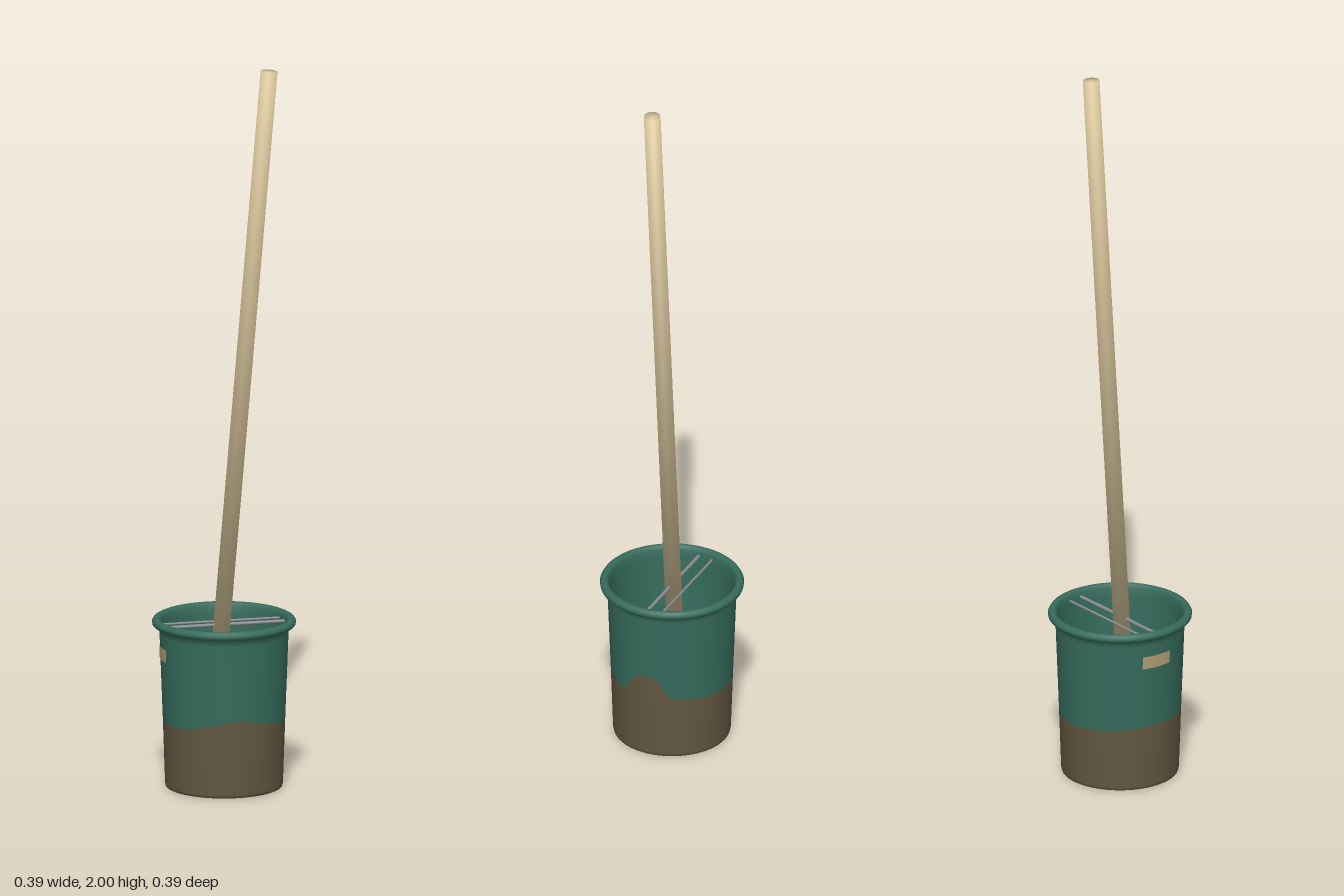
import * as THREE from 'three';
import { mergeVertices } from 'three/addons/utils/BufferGeometryUtils.js';

const SEG = 72;
const material = (name, color) => {
  const m = new THREE.MeshStandardMaterial({ color });
  m.name = name;
  return m;
};

// Wall radii at a height, and the height of the dirt line around the bucket
const outerR = (y) => 0.16 + 0.038 * y;
const innerR = (y) => 0.154 + 0.036 * y;
function dirtLine(phi) {
  const a = Math.abs(Math.atan2(Math.sin(phi), Math.cos(phi)));
  const right = Math.abs(Math.atan2(Math.sin(phi - Math.PI / 2), Math.cos(phi - Math.PI / 2)));
  const front = 0.033 * Math.max(0, 1 - a / 0.95);
  const back = -0.014 * Math.max(0, (a - 1.7) / 1.44);
  const bump = 0.062 * THREE.MathUtils.clamp((0.42 - right) / 0.24, 0, 1);
  return 0.187 + front + back + bump;
}

// Lathe whose chosen rows follow the dirt line
function latheWithDirtLine(profile, rows) {
  const geo = new THREE.LatheGeometry(profile.map(([r, y]) => new THREE.Vector2(r, y)), SEG);
  const pos = geo.attributes.position;
  for (let i = 0; i <= SEG; i++) {
    const phi = (i / SEG) * Math.PI * 2;
    const y = dirtLine(phi);
    for (const [row, radius] of rows) {
      const r = radius(y);
      pos.setXYZ(i * profile.length + row, r * Math.sin(phi), y, r * Math.cos(phi));
    }
  }
  return geo;
}

// Share vertices so that shading runs softly over the edges
function soften(geo) {
  geo.deleteAttribute('normal');
  geo.deleteAttribute('uv');
  const merged = mergeVertices(geo, 1e-4);
  merged.computeVertexNormals();
  return merged;
}

// Pole whose end rings share one normal between side and cap
function softPole(radius, length) {
  const geo = new THREE.CylinderGeometry(radius, radius, length, 24);
  const { position, normal } = geo.attributes;
  const n = new THREE.Vector3();
  for (let i = 0; i < position.count; i++) {
    n.set(position.getX(i) / radius, Math.sign(position.getY(i)), position.getZ(i) / radius).normalize();
    normal.setXYZ(i, n.x, n.y, n.z);
  }
  return geo;
}

export function createModel() {
  const group = new THREE.Group();
  const green = material('bucketGreen', 0x366c5d);
  const dirt = material('dirtBrown', 0x625740);
  const wood = material('paleWood', 0xd5c298);
  const metal = material('wireGrey', 0x888c8e);
  const label = material('labelTan', 0xb39f74);

  const add = (name, geo, mat) => {
    const mesh = new THREE.Mesh(geo, mat);
    mesh.name = name;
    group.add(mesh);
    return mesh;
  };

  // Clean upper bucket: outer wall, rolled rim, inner wall
  const upper = [
    [outerR(0.19), 0.19], [outerR(0.43), 0.43], [0.178, 0.448], [0.19, 0.45],
    [0.196, 0.456], [0.197, 0.463], [0.193, 0.47], [0.185, 0.474],
    [0.177, 0.471], [0.172, 0.463], [innerR(0.44), 0.44], [innerR(0.19), 0.19],
  ];
  add('bucketUpper', latheWithDirtLine(upper, [[0, outerR], [upper.length - 1, innerR]]), green);

  // Dirty lower bucket: outside with a closed base, inside with the floor
  add('bucketLowerOutside', latheWithDirtLine(
    [[0.155, 0], [0.159, 0.002], [0.161, 0.01], [outerR(0.19), 0.19]], [[3, outerR]]), dirt);
  add('bucketBase', new THREE.CircleGeometry(0.155, SEG).rotateX(Math.PI / 2), dirt);
  add('bucketLowerInside', soften(latheWithDirtLine(
    [[innerR(0.19), 0.19], [0.154, 0.005], [0, 0.005]], [[0, innerR]])), dirt);

  // Leaning pole
  const start = new THREE.Vector3(-0.014, 0.36, 0);
  const end = new THREE.Vector3(0.127, 1.998, 0);
  const pole = add('pole', softPole(0.023, start.distanceTo(end)), wood);
  pole.position.copy(start).lerp(end, 0.5);
  pole.quaternion.setFromUnitVectors(new THREE.Vector3(0, 1, 0), end.clone().sub(start).normalize());

  // Two wires across the mouth
  for (const [z, r] of [[0, 0.005], [-0.042, 0.0035]]) {
    const wire = add('crossWire', new THREE.CylinderGeometry(r, r, 0.34, 10), metal);
    wire.rotation.z = Math.PI / 2;
    wire.position.set(0, 0.452, z);
  }

  // Thin curved label on the bucket's right side
  const tag = add('sideLabel', new THREE.CylinderGeometry(outerR(0.398) + 0.002, outerR(0.362) + 0.002,
    0.036, 12, 1, true, Math.PI * 1.5 - 0.31, 0.52), label);
  tag.position.y = 0.38;

  return group;
}
